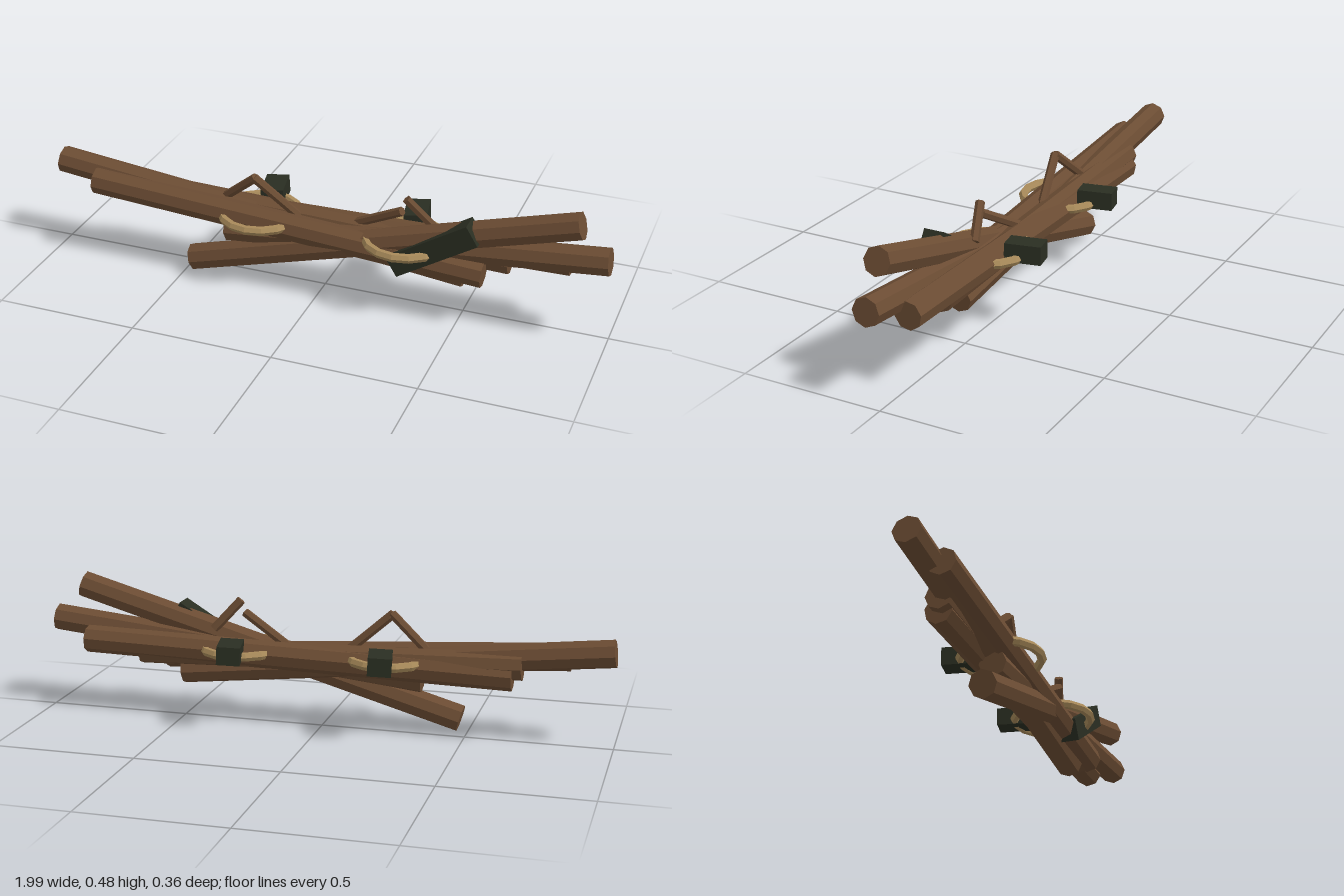
import * as THREE from 'three';

const material = (name, color) => {
  const m = new THREE.MeshStandardMaterial({ color, flatShading: true });
  m.name = name;
  return m;
};

export function createModel() {
  const group = new THREE.Group();
  const wood = material('wood', 0x6b4c33);
  const dark = material('dark block', 0x2a2e22);
  const cord = material('rope', 0xa88a5a);

  const add = (name, geometry, mat) => {
    const mesh = new THREE.Mesh(geometry, mat);
    mesh.name = name;
    group.add(mesh);
    return mesh;
  };

  // A straight round bar between two points
  const bar = (name, a, b, radius, sides, roll = 0) => {
    const from = new THREE.Vector3(...a), to = new THREE.Vector3(...b);
    const dir = to.clone().sub(from);
    const geometry = new THREE.CylinderGeometry(radius, radius, dir.length(), sides);
    geometry.rotateY(roll);
    const mesh = add(name, geometry, wood);
    mesh.quaternion.setFromUnitVectors(new THREE.Vector3(0, 1, 0), dir.normalize());
    mesh.position.copy(from.add(to).multiplyScalar(0.5));
  };

  // Main logs, crossing each other at shallow angles: x1, y1, x2, y2, z, roll
  [
    [-0.475, 0.048, 0.895, 0.437, 0.06, 0],
    [-0.993, 0.325, 0.507, 0.16, 0.02, 0],
    [-0.84, 0.29, 0.582, 0.2, 0.068, 0.1],
    [-0.345, 0.183, 0.991, 0.315, 0.042, 0],
    [-0.66, 0.23, 0.855, 0.258, -0.016, 0.2],
    [-0.69, 0.264, 0.655, 0.228, -0.002, 0],
  ].forEach(([x1, y1, x2, y2, z, roll], i) =>
    bar(`log${i + 1}`, [x1, y1, z], [x2, y2, z], 0.048, 8, roll));

  // Thin twigs standing out of the top
  [
    [[-0.37, 0.285, 0.015], [-0.232, 0.402, 0.055]],
    [[-0.237, 0.402, 0.058], [-0.085, 0.27, 0.03]],
    [[0.095, 0.26, 0.0], [0.292, 0.372, 0.055]],
    [[0.304, 0.417, 0.05], [0.395, 0.315, 0.02]],
  ].forEach(([a, b], i) => bar(`twig${i + 1}`, a, b, 0.016, 6));

  // Rope rings and the block behind each one
  for (const x of [-0.227, 0.297]) {
    const ring = new THREE.TorusGeometry(0.136, 0.016, 6, 16);
    ring.rotateX(Math.PI / 2);
    add('ropeRing', ring, cord).position.set(x, 0.255, 0.027);

    const block = add('backBlock', new THREE.BoxGeometry(0.08, 0.063, 0.124), dark);
    block.position.set(x - 0.003, 0.273, -0.112);
    block.rotation.set(0, 0.2, 0.05);
  }

  // Slanted block on the front
  const block = add('frontBlock', new THREE.BoxGeometry(0.32, 0.078, 0.075), dark);
  block.position.set(0.415, 0.277, 0.086);
  block.rotation.z = 0.55;

  return group;
}
